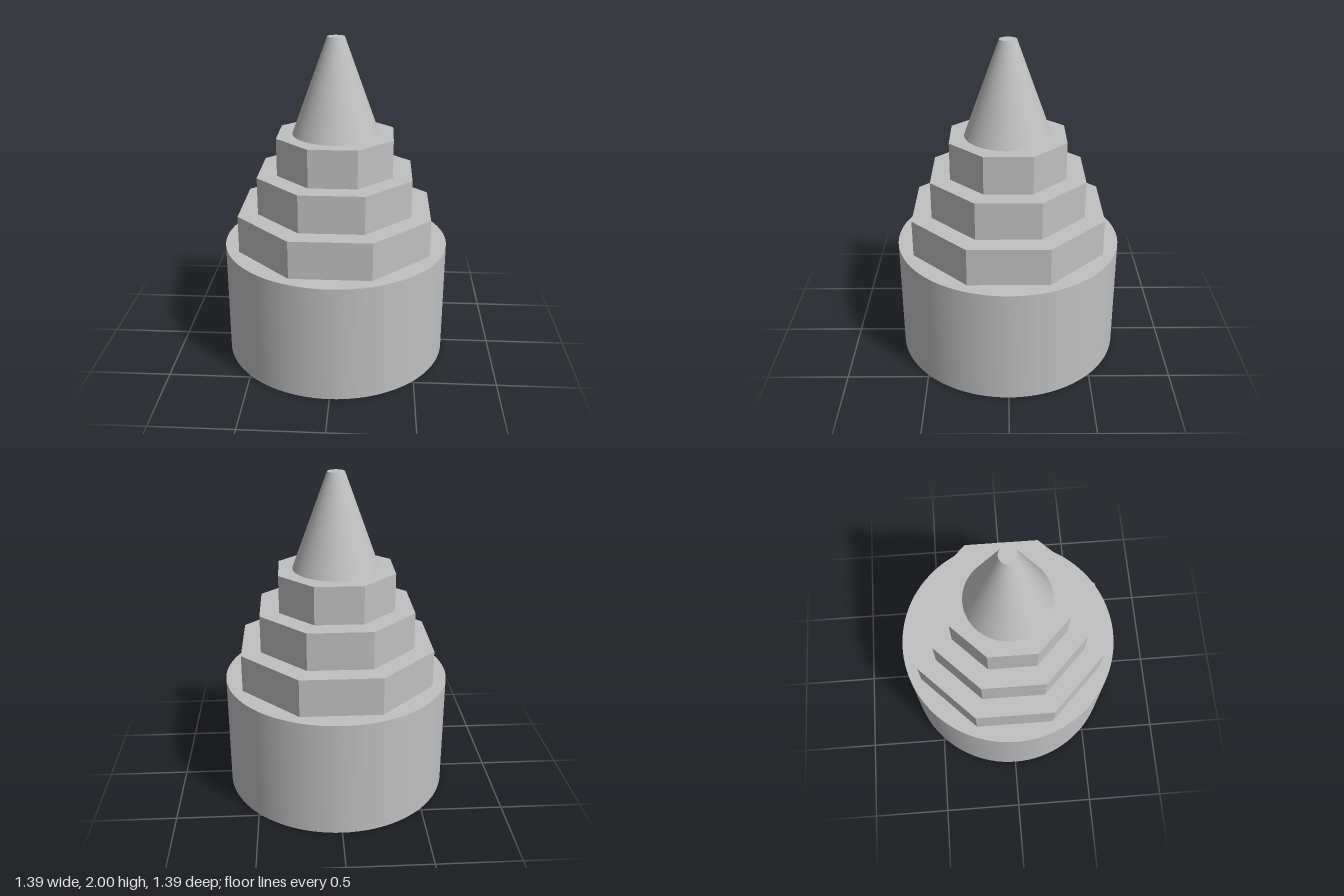
import * as THREE from 'three';
import { toCreasedNormals } from 'three/addons/utils/BufferGeometryUtils.js';

const BASE_HEIGHT = 0.725;
const STEP_HEIGHT = 0.232;

export function createModel() {
  const group = new THREE.Group();
  const grey = new THREE.MeshStandardMaterial({ color: 0xc0c0c0 });
  grey.name = 'light grey';

  function add(name, geometry, y = 0) {
    const mesh = new THREE.Mesh(geometry, grey);
    mesh.name = name;
    mesh.position.y = y;
    group.add(mesh);
  }

  // Round base: a thick ring, open underneath
  const ring = [[0.475, BASE_HEIGHT], [0.475, 0], [0.695, 0], [0.695, BASE_HEIGHT], [0.475, BASE_HEIGHT]]
    .map(([x, y]) => new THREE.Vector2(x, y));
  add('base', toCreasedNormals(new THREE.LatheGeometry(ring, 96), 0.5));

  // Three stacked octagonal steps with flat sides facing the axes
  [0.58, 0.463, 0.347].forEach((apothem, i) => {
    const radius = apothem / Math.cos(Math.PI / 8);
    const step = new THREE.CylinderGeometry(radius, radius, STEP_HEIGHT, 8)
      .rotateY(Math.PI / 8)
      .toNonIndexed();
    step.computeVertexNormals();
    add(`octagonStep${i + 1}`, step, BASE_HEIGHT + STEP_HEIGHT * (i + 0.5));
  });

  // Blunt spire on top
  const spireBottom = BASE_HEIGHT + 3 * STEP_HEIGHT;
  const spireHeight = 2 - spireBottom;
  add('spire', new THREE.CylinderGeometry(0.052, 0.263, spireHeight, 96), spireBottom + spireHeight / 2);

  return group;
}
